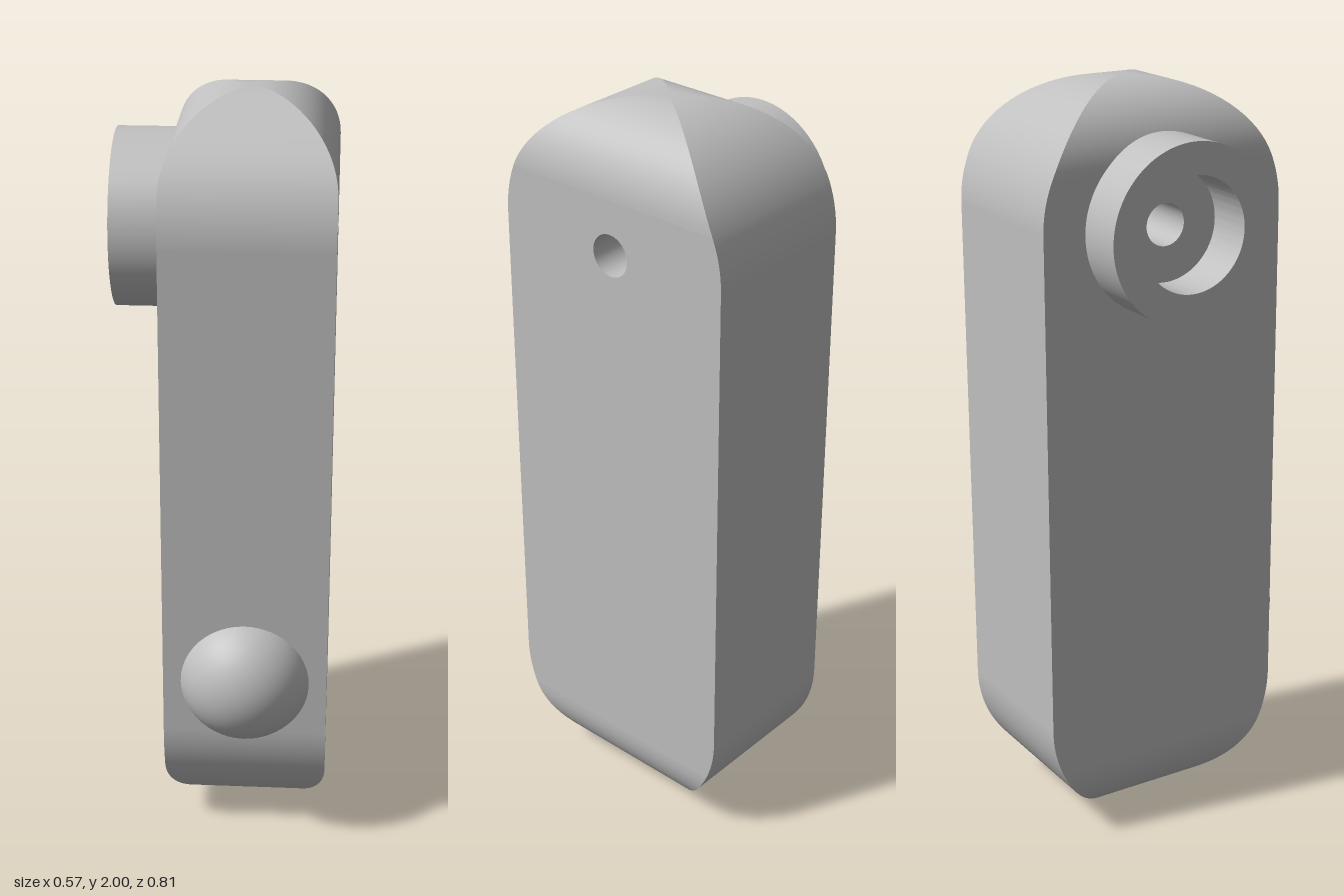
import * as THREE from 'three';
import { toCreasedNormals } from 'three/addons/utils/BufferGeometryUtils.js';

const HALF_X = 0.2175, HALF_Z = 0.346, R_X = 0.2, R_Z = 0.33;
const HOLE_Y = 1.655, HOLE_R = 0.055;

// half width at height y of an outline with rounded ends
function halfWidth(half, r, y) {
  const d = Math.max(0, Math.min(y, 2 - y, r));
  return half - r + Math.sqrt(r * r - (r - d) ** 2);
}
const hx = y => halfWidth(HALF_X, R_X, y);
const hz = y => halfWidth(HALF_Z, R_Z, y);

// a wall facing +z whose width and depth follow the outlines at the given heights
function wall(width, depth, ys) {
  const g = new THREE.PlaneGeometry(1, 1, 1, ys.length - 1);
  const p = g.attributes.position;
  for (let i = 0; i < p.count; i++) {
    const y = ys[Math.floor(i / 2)];
    p.setXYZ(i, Math.sign(p.getX(i)) * width(y), y, depth(y));
  }
  g.computeVertexNormals();
  return g;
}

export function createModel() {
  const group = new THREE.Group();
  const grey = new THREE.MeshStandardMaterial({ color: 0xc0c0c0 });
  grey.name = 'grey plastic';
  const tunnelGrey = grey;

  const body = new THREE.Group();
  body.name = 'body';
  body.position.set(0.0645, 0, -0.059);
  group.add(body);
  const add = (name, geometry, material = grey) => {
    const mesh = new THREE.Mesh(geometry, material);
    mesh.name = name;
    body.add(mesh);
    return mesh;
  };

  // heights from the top down, denser at the rounded ends
  const cap = [];
  for (let i = 0; i <= 18; i++) cap.push(2 - R_X * (1 - Math.cos(i / 18 * Math.PI / 2)));
  const middle = [];
  for (let i = 1; i <= 12; i++) middle.push(2 - R_X - (R_Z - R_X) * i / 12);
  const flip = a => a.map(y => 2 - y).reverse();
  const straight = [cap[18], ...middle, ...flip(middle), 2 - cap[18]];
  const all = [...cap, ...middle, ...flip(middle), ...flip(cap)];

  // front and back walls
  add('frontWall', wall(hx, hz, all));
  add('backWall', wall(hx, hz, all).rotateY(Math.PI));

  // side walls: flat panels pierced by the hole, with curved ends
  const panel = new THREE.Shape([
    ...straight.map(y => new THREE.Vector2(-hz(y), y)),
    ...flip(straight).map((y, i) => new THREE.Vector2(hz(y), straight[straight.length - 1 - i])),
  ]);
  const hole = new THREE.Path();
  hole.absarc(0, HOLE_Y, HOLE_R, 0, Math.PI * 2, true);
  panel.holes.push(hole);
  for (const [name, s] of [['left', 1], ['right', -1]]) {
    const turn = s * Math.PI / 2;
    add(name + 'Panel', new THREE.ShapeGeometry(panel, 24).rotateY(turn).translate(s * HALF_X, 0, 0));
    add(name + 'TopCurve', wall(hz, hx, cap).rotateY(turn));
    add(name + 'BottomCurve', wall(hz, hx, flip(cap)).rotateY(turn));
  }

  // small flats on the top and bottom ridges
  for (const [name, y, s] of [['topFlat', 2, -1], ['bottomFlat', 0, 1]]) {
    add(name, new THREE.PlaneGeometry(2 * hx(0), 2 * hz(0)).rotateX(s * Math.PI / 2).translate(0, y, 0));
  }

  // inside wall of the through hole, turned inwards by reversing its faces
  const tunnel = new THREE.CylinderGeometry(HOLE_R, HOLE_R, 2 * HALF_X, 48, 1, true);
  tunnel.index.array.reverse();
  const n = tunnel.attributes.normal;
  for (let i = 0; i < n.count; i++) n.setXYZ(i, -n.getX(i), -n.getY(i), -n.getZ(i));
  tunnel.rotateZ(Math.PI / 2).translate(0, HOLE_Y, 0);
  add('throughHole', tunnel, tunnelGrey);

  // hollow collar on the right side
  const ring = new THREE.Shape().absarc(0, 0, 0.23, 0, Math.PI * 2, false);
  const bore = new THREE.Path();
  bore.absarc(0, 0, 0.148, 0, Math.PI * 2, true);
  ring.holes.push(bore);
  const collar = new THREE.ExtrudeGeometry(ring, { depth: 0.17, bevelEnabled: false, curveSegments: 64 });
  collar.rotateY(-Math.PI / 2).translate(-0.18, HOLE_Y, 0);
  add('collar', toCreasedNormals(collar, 0.6));

  // domed button on the front
  const dome = new THREE.SphereGeometry(0.183, 48, 20, 0, Math.PI * 2, 0, 1.25);
  dome.rotateX(Math.PI / 2).translate(0, 0.48, 0.279);
  add('button', dome);

  return group;
}
